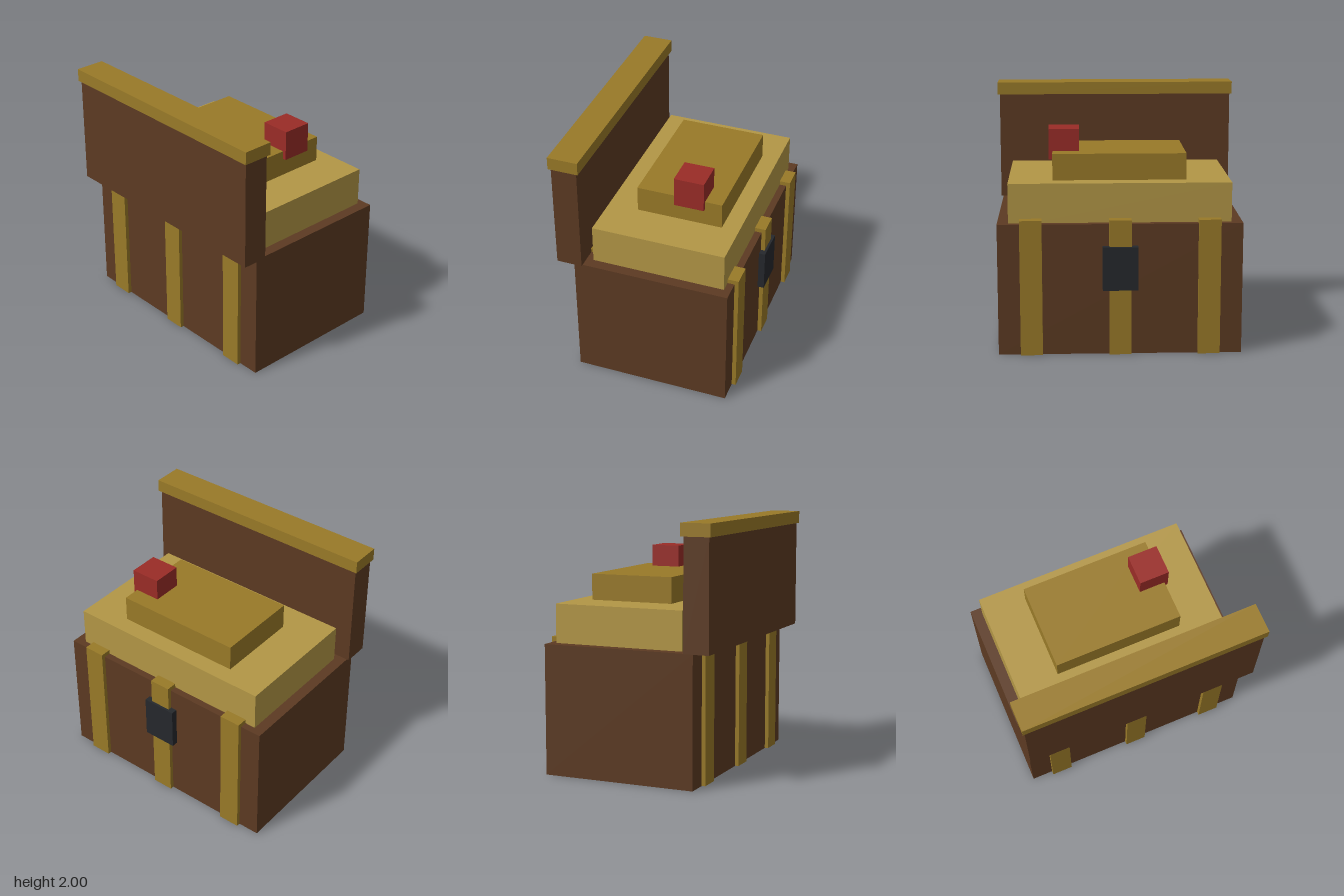
import * as THREE from 'three';

const material = (color) => new THREE.MeshStandardMaterial({ color });

export function createModel() {
  const group = new THREE.Group();
  const wood = material(0x5c3a22);
  const brass = material(0x997a28);
  const gold = material(0xb39746);
  const iron = material(0x25282c);
  const ruby = material(0x9a2c27);

  // Box given by its extents along each axis
  function box(name, mat, [x0, x1], [y0, y1], [z0, z1]) {
    const mesh = new THREE.Mesh(new THREE.BoxGeometry(x1 - x0, y1 - y0, z1 - z0), mat);
    mesh.position.set((x0 + x1) / 2, (y0 + y1) / 2, (z0 + z1) / 2);
    mesh.name = name;
    group.add(mesh);
  }

  // Chest body
  box('chestBody', wood, [-0.948, 0.948], [0, 1.035], [-0.673, 0.573]);

  // Straps wrapping the body, lifted a hair so the undersides do not coincide
  ['strapRight', 'strapMiddle', 'strapLeft'].forEach((name, i) => {
    const x = (i - 1) * 0.69;
    box(name, brass, [x - 0.086, x + 0.086], [0.002, 1.07], [-0.706, 0.604]);
  });

  // Lock plate
  box('lock', iron, [-0.137, 0.137], [0.52, 0.863], [-0.725, -0.655]);

  // Upright open lid with its rim
  box('lid', wood, [-0.966, 0.966], [1.035, 1.9], [0.504, 0.708]);
  box('lidRim', brass, [-0.983, 0.983], [1.9, 2], [0.485, 0.725]);

  // Stepped treasure heap and gem
  box('treasureLower', gold, [-0.863, 0.863], [1.0, 1.343], [-0.618, 0.448]);
  box('treasureUpper', brass, [-0.52, 0.52], [1.343, 1.55], [-0.48, 0.207]);
  box('gem', ruby, [0.31, 0.55], [1.485, 1.725], [-0.343, -0.103]);

  return group;
}
